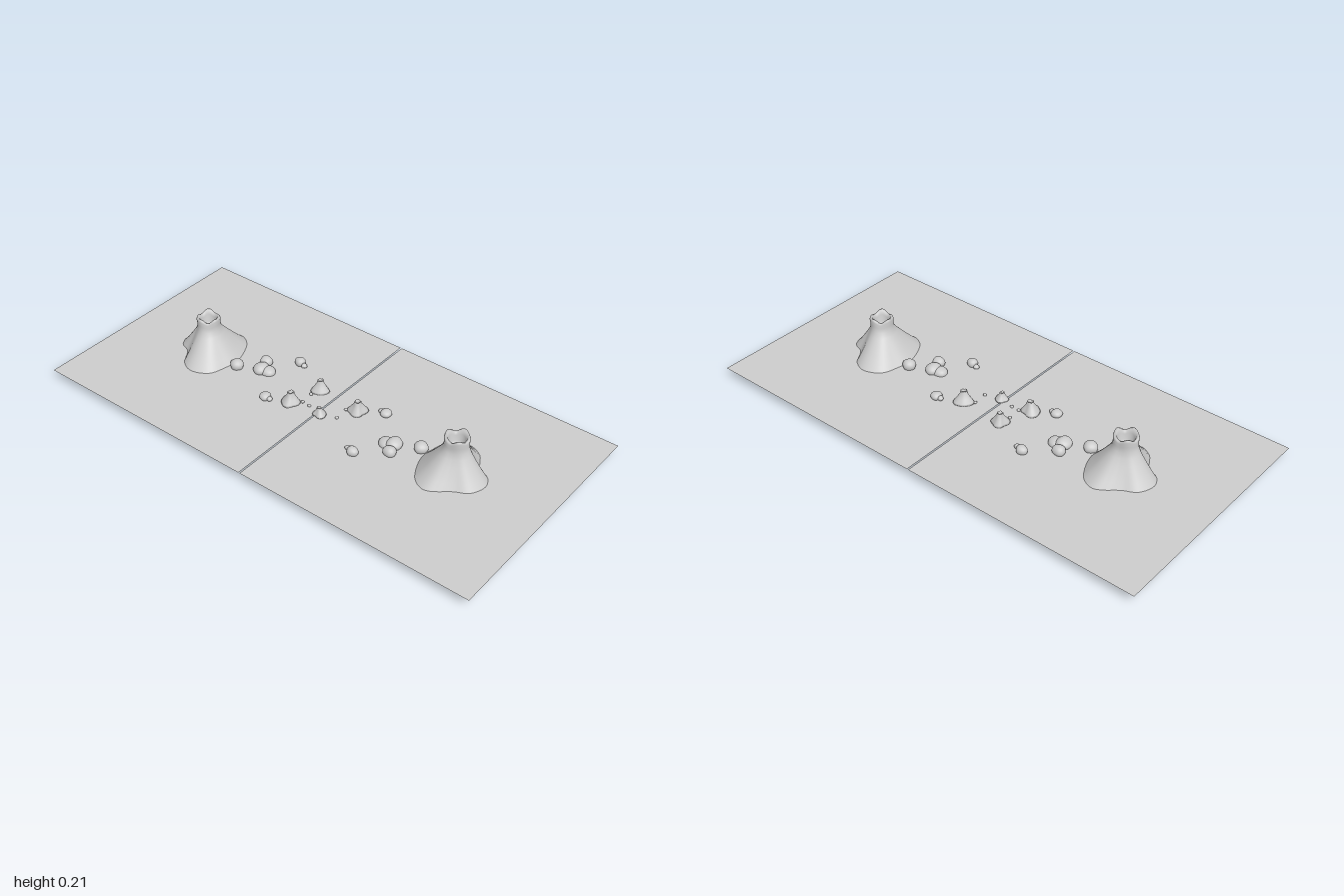
import * as THREE from 'three';
import { mergeVertices } from 'three/addons/utils/BufferGeometryUtils.js';

const GROUND_Y = 0.042;
const grey = new THREE.MeshStandardMaterial({ color: 0xcccccc });
const sheet = new THREE.MeshStandardMaterial({ color: 0xcccccc, side: THREE.DoubleSide });

function add(parent, geometry, name, x = 0, y = 0, z = 0, material = grey) {
  const mesh = new THREE.Mesh(geometry, material);
  mesh.name = name;
  mesh.position.set(x, y, z);
  parent.add(mesh);
  return mesh;
}

// Lobed footprint of the cone where it meets the ground, as [x, z]
const footprint = new THREE.CatmullRomCurve3([
  [0.136, 0.02], [0.065, 0.07], [0.045, 0.114], [0, 0.137], [-0.066, 0.114],
  [-0.098, 0.06], [-0.15, -0.01], [-0.156, -0.04], [-0.13, -0.087],
  [-0.06, -0.127], [0, -0.142], [0.05, -0.135], [0.124, -0.11], [0.158, -0.04],
].map(([x, z]) => new THREE.Vector3(x, 0, z)), true);

// Footprint radius in a given direction
const samples = footprint.getPoints(240).map(p => [Math.atan2(p.z, p.x), Math.hypot(p.x, p.z)]);
function footRadius(angle) {
  const a = Math.atan2(Math.sin(angle), Math.cos(angle));
  let best = samples[0];
  for (const s of samples) if (Math.abs(s[0] - a) < Math.abs(best[0] - a)) best = s;
  return best[1];
}

// Closed loft; each ring is [height, radius, lobing 0..1, rim jaggedness]
function loft(rings, sides) {
  const pos = [], index = [];
  for (const [y, r, lobe, jag] of rings) {
    for (let i = 0; i < sides; i++) {
      const a = (i / sides) * Math.PI * 2;
      const bump = Math.sin(3 * a + 0.6) * 0.6 + Math.sin(5 * a + 2) * 0.4;
      const rad = r * (1 - lobe + lobe * footRadius(a) / 0.145) * (1 + 0.06 * jag * bump);
      pos.push(rad * Math.cos(a), y + 0.008 * jag * bump, rad * Math.sin(a));
    }
  }
  for (let k = 0; k < rings.length - 1; k++) {
    for (let i = 0; i < sides; i++) {
      const j = (i + 1) % sides, a = k * sides, b = a + sides;
      index.push(a + i, b + i, a + j, a + j, b + i, b + j);
    }
  }
  const geo = new THREE.BufferGeometry();
  geo.setAttribute('position', new THREE.Float32BufferAttribute(pos, 3));
  geo.setIndex(index);
  geo.computeVertexNormals();
  return geo;
}

// Uneven rounded boulder
function boulder(r, seed) {
  let geo = new THREE.IcosahedronGeometry(1, 3);
  geo.deleteAttribute('normal');
  geo.deleteAttribute('uv');
  geo = mergeVertices(geo, 1e-4);
  const p = geo.attributes.position, v = new THREE.Vector3();
  for (let i = 0; i < p.count; i++) {
    v.fromBufferAttribute(p, i);
    const n = Math.sin(3 * v.x + seed) * 0.5 + Math.sin(4 * v.z + 2 * seed) * 0.4 + Math.sin(3 * v.y - seed) * 0.4;
    v.multiplyScalar(r * (1 + 0.09 * n));
    p.setXYZ(i, v.x, v.y * 0.78, v.z);
  }
  geo.computeVertexNormals();
  return geo;
}

export function createModel() {
  const model = new THREE.Group();
  model.name = 'volcanoField';

  // Flared cone with rolled foot, narrow neck and sunken crater
  const volcano = loft([
    [0.004, 0, 0, 0], [0.004, 0.15, 1, 0], [0.008, 0.162, 1, 0], [0.016, 0.164, 1, 0],
    [0.026, 0.156, 1, 0], [GROUND_Y, 0.143, 1, 0], [0.065, 0.121, 0.9, 0],
    [0.09, 0.1, 0.8, 0], [0.115, 0.08, 0.65, 0], [0.14, 0.061, 0.4, 0],
    [0.16, 0.05, 0.2, 0.3], [0.18, 0.047, 0.1, 0.6], [0.198, 0.048, 0, 1],
    [0.206, 0.045, 0, 1], [0.205, 0.037, 0, 1], [0.19, 0.032, 0, 0.6],
    [0.165, 0.029, 0, 0], [0.155, 0.022, 0, 0], [0.152, 0, 0, 0],
  ], 72);

  // Boulders of one half: x, y, z, radius
  const boulders = [
    [0.02, 0.053, 0.44, 0.029],
    [-0.07, 0.055, 0.362, 0.026], [-0.022, 0.052, 0.348, 0.032], [-0.032, 0.043, 0.318, 0.03],
    [-0.155, 0.052, 0.254, 0.023], [-0.146, 0.05, 0.226, 0.012],
    [0.105, 0.052, 0.216, 0.022], [0.106, 0.05, 0.193, 0.012],
  ];

  // Two identical halves, one turned half way round
  for (const turn of [0, Math.PI]) {
    const half = new THREE.Group();
    half.name = turn ? 'backHalf' : 'frontHalf';
    half.rotation.y = turn;
    const ground = new THREE.PlaneGeometry(1, 0.997).rotateX(-Math.PI / 2);
    add(half, ground, 'ground', 0, GROUND_Y, 0.5015, sheet);
    add(half, volcano, 'volcano', 0, 0, 0.605);
    boulders.forEach(([x, y, z, r], i) => add(half, boulder(r, i * 1.7 + 1), 'boulder', x, y, z));
    model.add(half);
  }

  // Small vents around the middle: x, z, radius, height
  const vents = [
    [-0.06, -0.122, 0.041, 0.05], [0.071, -0.08, 0.037, 0.05],
    [-0.052, 0.012, 0.029, 0.034], [0.053, 0.118, 0.041, 0.052],
  ];
  vents.forEach(([x, z, r, h], i) => {
    const vent = add(model, loft([
      [0, 0, 0, 0], [0, r, 0.8, 0], [h * 0.15, r * 0.9, 0.8, 0], [h * 0.45, r * 0.62, 0.7, 0],
      [h * 0.75, r * 0.38, 0.3, 0], [h * 0.97, r * 0.32, 0, 0.3], [h, r * 0.26, 0, 0.3],
      [h * 0.9, r * 0.17, 0, 0], [h * 0.7, r * 0.13, 0, 0], [h * 0.68, 0, 0, 0],
    ], 32), 'vent', x, GROUND_Y, z);
    vent.rotation.y = i * 1.6 + 0.5;
  });

  // Pebbles scattered between the vents
  const pebbles = [[-0.035, -0.085], [0.024, -0.09], [-0.036, -0.05], [-0.028, 0.08], [0.034, 0.076]];
  pebbles.forEach(([x, z], i) => add(model, boulder(0.007, i), 'pebble', x, GROUND_Y + 0.003, z));

  return model;
}
